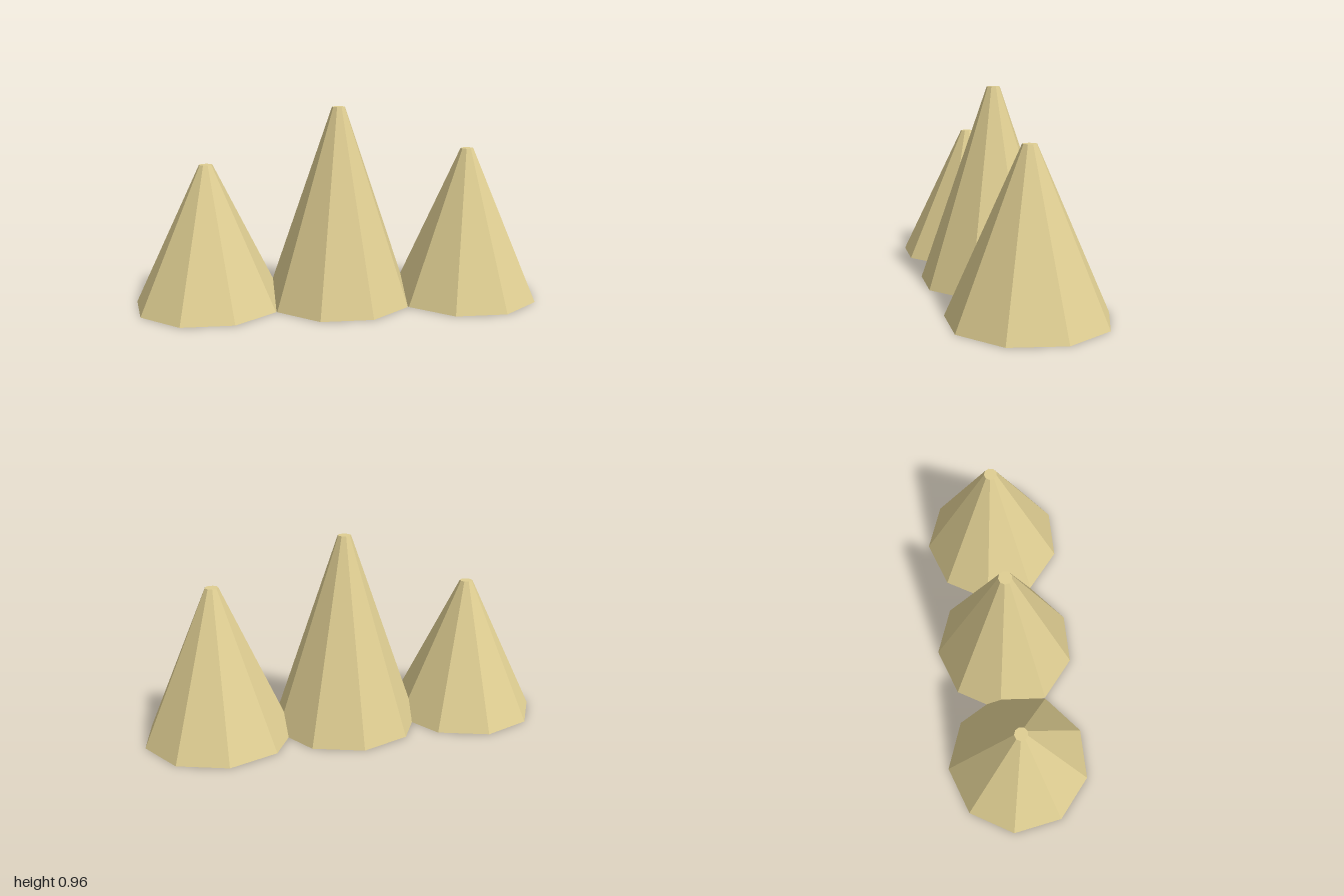
import * as THREE from 'three';

export function createModel() {
  const group = new THREE.Group();
  const sand = new THREE.MeshStandardMaterial({ color: 0xdfce92 });
  sand.name = 'sand';

  // Nine-sided blunt cones, one corner pointing to the back
  const cone = (name, x, height) => {
    const geometry = new THREE.CylinderGeometry(0.032, 0.366, height, 9, 1, false, Math.PI)
      .toNonIndexed();
    geometry.computeVertexNormals(); // flat facets
    const mesh = new THREE.Mesh(geometry, sand);
    mesh.name = name;
    mesh.position.set(x, height / 2, 0.01);
    group.add(mesh);
  };

  cone('rightCone', -0.64, 0.69);
  cone('middleCone', 0, 0.96);
  cone('leftCone', 0.64, 0.75);

  return group;
}
